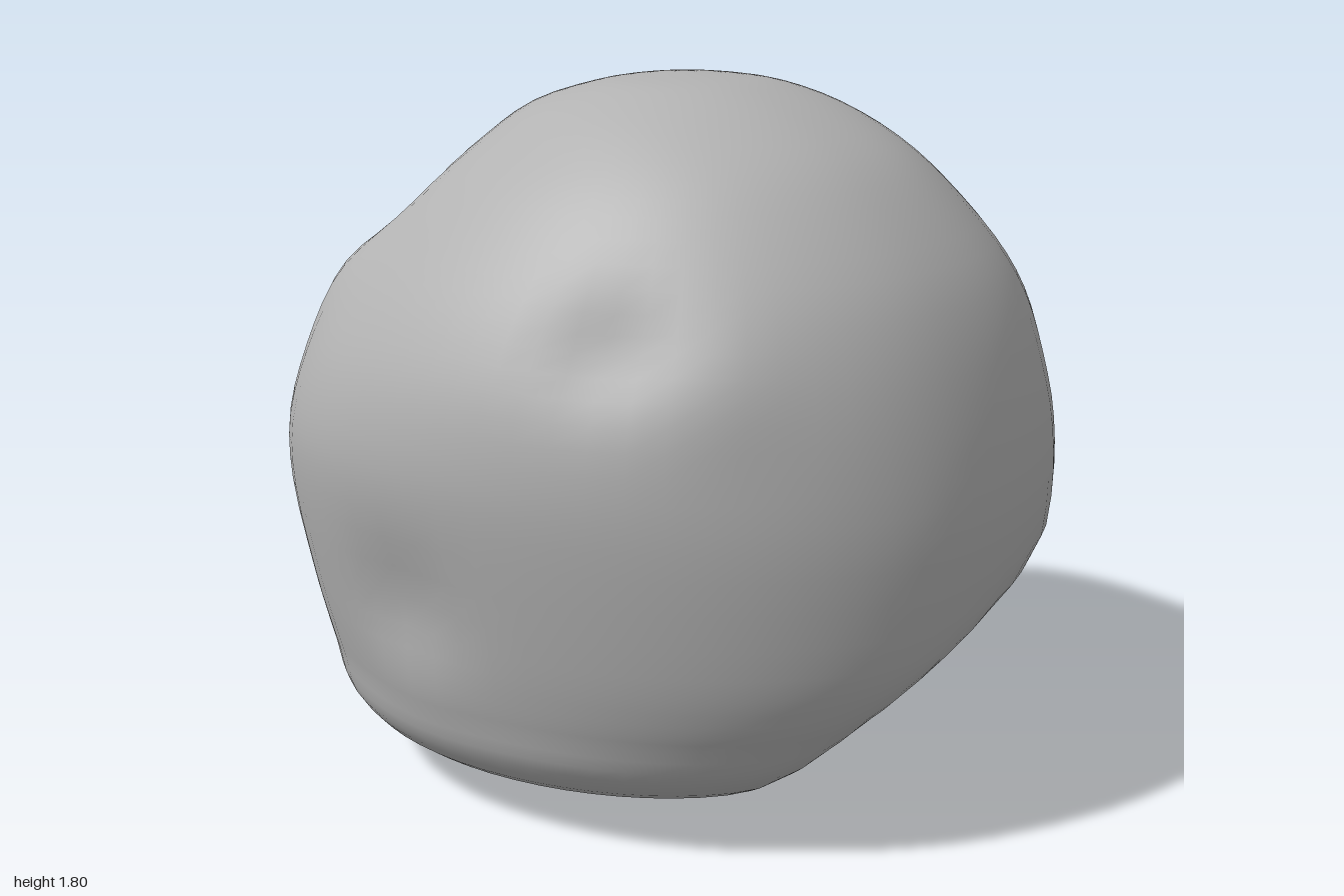
import * as THREE from 'three';

// Silhouette of the boulder by height: [y, xMin, xMax, zMin, zMax, xCentre]
const SECTIONS = [
  [0, -0.1, -0.1, 0, 0, -0.1],
  [0.03, -0.52, 0.25, -0.27, 0.36, -0.12],
  [0.08, -0.75, 0.53, -0.58, 0.55, -0.13],
  [0.13, -0.83, 0.68, -0.69, 0.7, -0.13],
  [0.22, -0.89, 0.81, -0.77, 0.785, -0.13],
  [0.32, -0.93, 0.88, -0.835, 0.81, -0.12],
  [0.4, -0.955, 0.93, -0.87, 0.83, -0.12],
  [0.53, -0.99, 0.975, -0.9, 0.86, -0.12],
  [0.77, -1, 1, -0.925, 0.91, -0.12],
  [0.95, -0.96, 0.99, -0.92, 0.93, -0.1],
  [1.12, -0.88, 0.96, -0.87, 0.905, -0.06],
  [1.27, -0.79, 0.915, -0.81, 0.84, -0.02],
  [1.4, -0.68, 0.85, -0.71, 0.755, 0.02],
  [1.54, -0.52, 0.74, -0.57, 0.64, 0.06],
  [1.64, -0.39, 0.63, -0.45, 0.53, 0.1],
  [1.72, -0.27, 0.49, -0.325, 0.42, 0.11],
  [1.77, -0.11, 0.36, -0.19, 0.3, 0.12],
  [1.79, 0, 0.26, -0.07, 0.2, 0.12],
  [1.8, 0.12, 0.12, 0.06, 0.06, 0.12],
];

// Flattened faces: outward normal and distance
const FLATS = [
  { n: new THREE.Vector3(0.57, -0.75, -0.33).normalize(), d: 0.165 },
  { n: new THREE.Vector3(-0.66, 0.35, -0.66).normalize(), d: 1.15 },
];

// Hollows (negative) and swellings (positive): position, radius, height
const DENTS = [
  [0, 0.59, 0.87, 0.18, -0.03], [0, 0.4, 0.82, 0.2, 0.015],
  [-0.74, 0.54, 0.6, 0.16, -0.045], [-0.72, 0.34, 0.54, 0.17, 0.02],
  [0.52, 1.27, 0.68, 0.16, -0.04], [0.72, 1.19, 0.55, 0.16, 0.015],
  [-0.45, 1.46, 0.42, 0.16, -0.06], [-0.45, 1.28, 0.64, 0.18, 0.02],
  [0.6, 0.4, -0.48, 0.17, 0.045],
];

const CORE = new THREE.Vector3(0, 0.85, 0);

function sculpt(p) {
  for (const { n, d } of FLATS) {
    const e = n.dot(p) - d;
    p.addScaledVector(n, -0.5 * (e + Math.sqrt(e * e + 0.0012)));
  }
  const out = p.clone().sub(CORE).normalize();
  let push = 0;
  for (const [x, y, z, r, h] of DENTS) {
    const q = ((p.x - x) ** 2 + (p.y - y) ** 2 + (p.z - z) ** 2) / (r * r);
    push += h * Math.exp(-q * 1.4);
  }
  return p.addScaledVector(out, push);
}

function boulderGeometry(around = 72, perSection = 3) {
  const curve = (a, b, c) => new THREE.CatmullRomCurve3(
    SECTIONS.map((s) => new THREE.Vector3(s[a], s[b], s[c])), false, 'catmullrom', 0.5);
  const sides = curve(0, 1, 2);
  const depth = curve(3, 4, 5);
  const rows = (SECTIONS.length - 1) * perSection;
  const positions = [];
  const index = [];
  const add = (x, y, z) => positions.push(...sculpt(new THREE.Vector3(x, y, z)).toArray());

  // Lower pole, rings of four quarter-ellipses, upper pole
  add(-0.1, 0, 0);
  for (let i = 1; i < rows; i++) {
    const { x: y, y: xMin, z: xMax } = sides.getPoint(i / rows);
    const { x: zMin, y: zMax, z: cx } = depth.getPoint(i / rows);
    const cz = 0.06 * Math.max(0, (y - 1) / 0.8);
    for (let j = 0; j < around; j++) {
      const a = (j / around) * Math.PI * 2;
      // The back left quarter bulges slightly
      const bulge = a > Math.PI * 1.5 ? 1 + 0.04 * Math.sin(2 * a) ** 2 : 1;
      const c = Math.cos(a) * bulge;
      const s = Math.sin(a) * bulge;
      add(cx + c * (c > 0 ? xMax - cx : cx - xMin), y, cz + s * (s > 0 ? zMax - cz : cz - zMin));
    }
  }
  add(0.12, 1.8, 0.06);

  const at = (i, j) => 1 + (i - 1) * around + (j % around);
  const top = 1 + (rows - 1) * around;
  for (let j = 0; j < around; j++) {
    index.push(0, at(1, j), at(1, j + 1));
    for (let i = 1; i < rows - 1; i++) {
      index.push(at(i, j), at(i + 1, j), at(i, j + 1));
      index.push(at(i, j + 1), at(i + 1, j), at(i + 1, j + 1));
    }
    index.push(at(rows - 1, j), top, at(rows - 1, j + 1));
  }

  const geometry = new THREE.BufferGeometry();
  geometry.setAttribute('position', new THREE.Float32BufferAttribute(positions, 3));
  geometry.setIndex(index);
  geometry.computeVertexNormals();
  // Rest on the ground
  geometry.computeBoundingBox();
  geometry.translate(0, -geometry.boundingBox.min.y, 0);
  return geometry;
}

export function createModel() {
  const stone = new THREE.MeshStandardMaterial({ color: 0xb2b2b2 });
  stone.name = 'stone grey';
  const boulder = new THREE.Mesh(boulderGeometry(), stone);
  boulder.name = 'boulder';
  const group = new THREE.Group();
  group.name = 'rock';
  group.add(boulder);
  return group;
}
